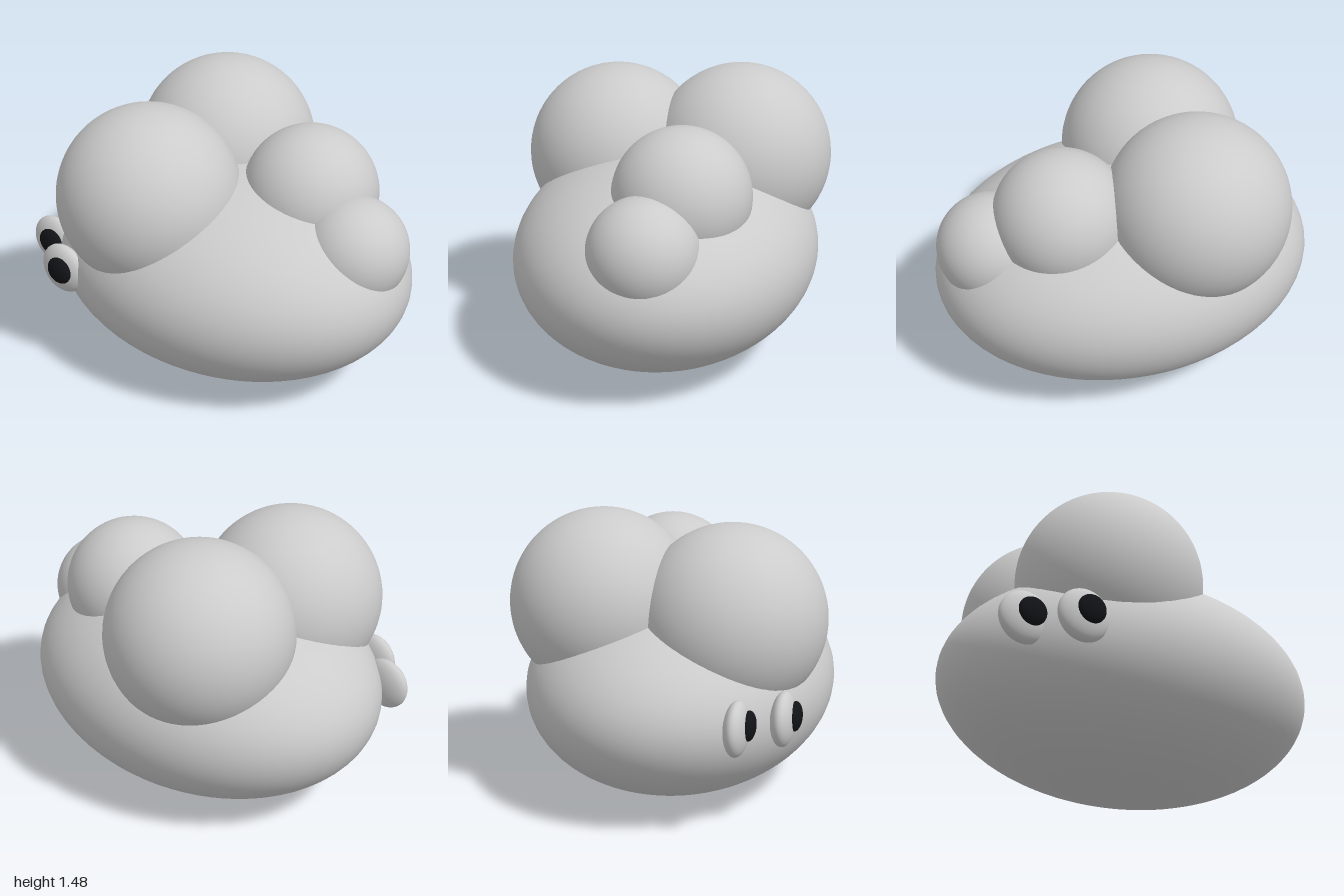
import * as THREE from 'three';

export function createModel() {
  const group = new THREE.Group();
  const grey = new THREE.MeshStandardMaterial({ color: 0xcccccc });
  const black = new THREE.MeshStandardMaterial({ color: 0x111316 });
  const ball = new THREE.SphereGeometry(1, 64, 48);

  // Every part is a ball stretched to its three radii
  function addBall(name, [x, y, z], [rx, ry, rz], material = grey) {
    const mesh = new THREE.Mesh(ball, material);
    mesh.name = name;
    mesh.position.set(x, y, z);
    mesh.scale.set(rx, ry, rz);
    group.add(mesh);
  }

  addBall('body', [0, 0.55, 0], [1, 0.55, 0.79]);

  // Round lumps on the back, large to small
  const lumps = [
    ['frontLargeLump', [-0.277, 0.965, 0.335], 0.475],
    ['rearLargeLump', [-0.277, 1.005, -0.335], 0.475],
    ['mediumLump', [0.38, 0.98, -0.16], 0.35],
    ['smallLump', [0.72, 0.805, -0.047], 0.278],
  ];
  for (const [name, centre, r] of lumps) addBall(name, centre, [r, r, r]);

  // Flattened eyes with dark pupils in front
  const eyes = [
    ['right', -0.81, 0.59, 0.49],
    ['left', -0.591, 0.578, 0.667],
  ];
  for (const [side, x, y, z] of eyes) {
    addBall(side + 'Eye', [x, y, z], [0.135, 0.135, 0.06]);
    addBall(side + 'Pupil', [x + 0.015, y + 0.014, z + 0.054], [0.073, 0.073, 0.034], black);
  }

  return group;
}
